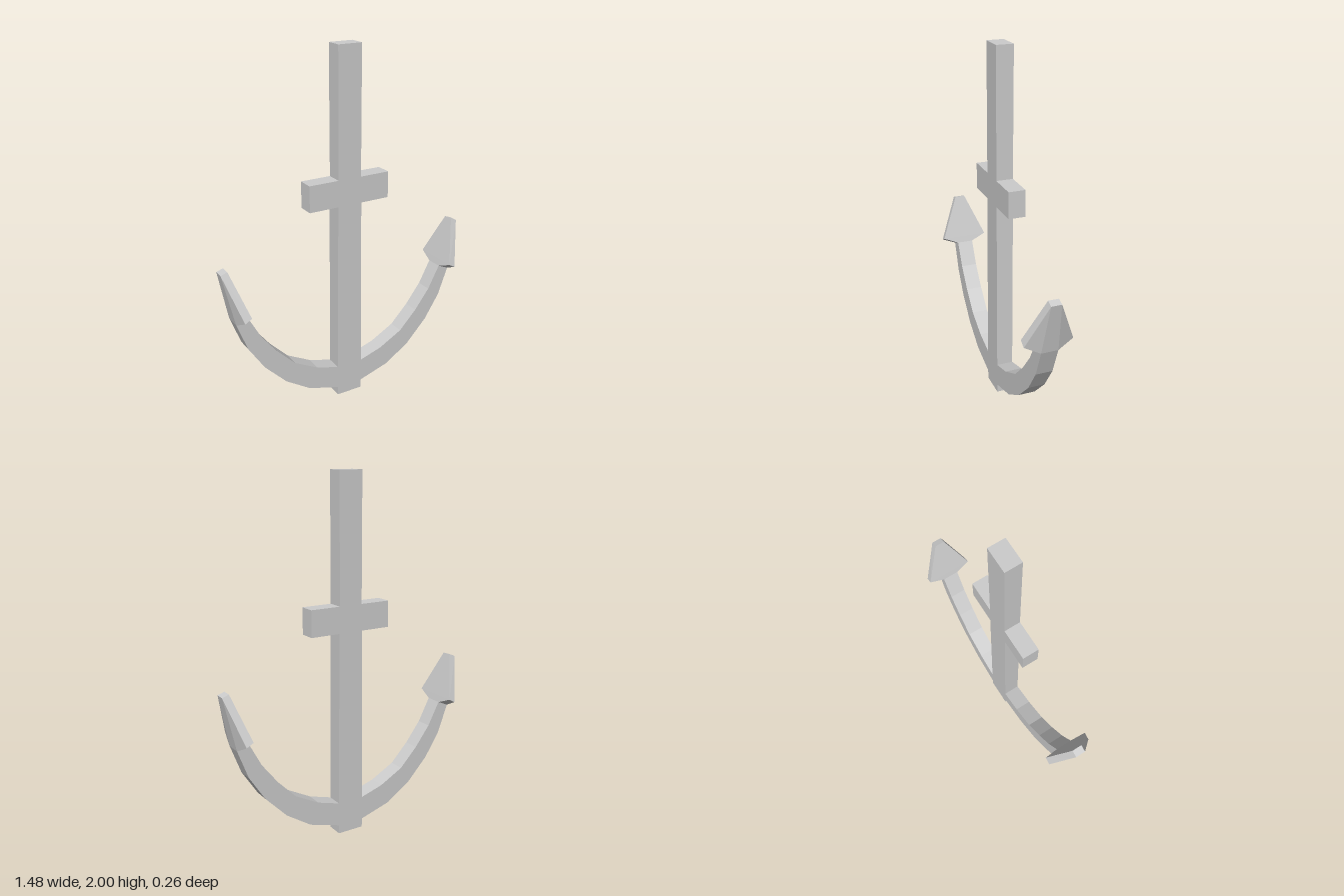
import * as THREE from 'three';
import { ConvexGeometry } from 'three/addons/geometries/ConvexGeometry.js';

const HALF = 0.046; // half thickness of the anchor body

const material = new THREE.MeshStandardMaterial({ color: 0xcccccc, flatShading: true });

// Flat plate of constant thickness, centred on z = 0
function plate(name, points) {
  const shape = new THREE.Shape(points.map(([x, y]) => new THREE.Vector2(x, y)));
  const geometry = new THREE.ExtrudeGeometry(shape, { depth: 2 * HALF, bevelEnabled: false });
  geometry.translate(0, 0, -HALF);
  const mesh = new THREE.Mesh(geometry, material);
  mesh.name = name;
  return mesh;
}

// Spade-shaped fluke: [x, y, half width] rows for base, barbs and tip
function fluke(name, side) {
  const rows = [
    [0.615, 0.658, HALF], [0.626, 0.694, 0.131], [0.703, 0.931, 0.028], // inner face
    [0.68, 0.63, HALF], [0.665, 0.673, 0.131], [0.74, 0.918, 0.028],    // outer ridge
  ];
  const points = rows.flatMap(([x, y, z]) => [
    new THREE.Vector3(side * x, y, z),
    new THREE.Vector3(side * x, y, -z),
  ]);
  const mesh = new THREE.Mesh(new ConvexGeometry(points), material);
  mesh.name = name;
  return mesh;
}

export function createModel() {
  const anchor = new THREE.Group();
  anchor.name = 'anchor';

  // Shank, crossbar and curved arms share one outline; this is its +x half
  const half = [
    [0.077, 0], [0.077, 0.05],
    // underside of the arm
    [0.26, 0.105], [0.405, 0.2], [0.53, 0.33], [0.62, 0.47], [0.68, 0.63],
    // top of the arm
    [0.615, 0.658], [0.545, 0.525], [0.455, 0.408], [0.35, 0.3], [0.21, 0.225], [0.077, 0.185],
    // shank and crossbar
    [0.071, 1.16], [0.24, 1.16], [0.24, 1.306], [0.068, 1.306], [0.068, 2],
  ];
  const mirrored = half.map(([x, y]) => [-x, y]).reverse();
  anchor.add(plate('shankAndArms', [...half, ...mirrored]));

  anchor.add(fluke('leftFluke', 1), fluke('rightFluke', -1));
  return anchor;
}
